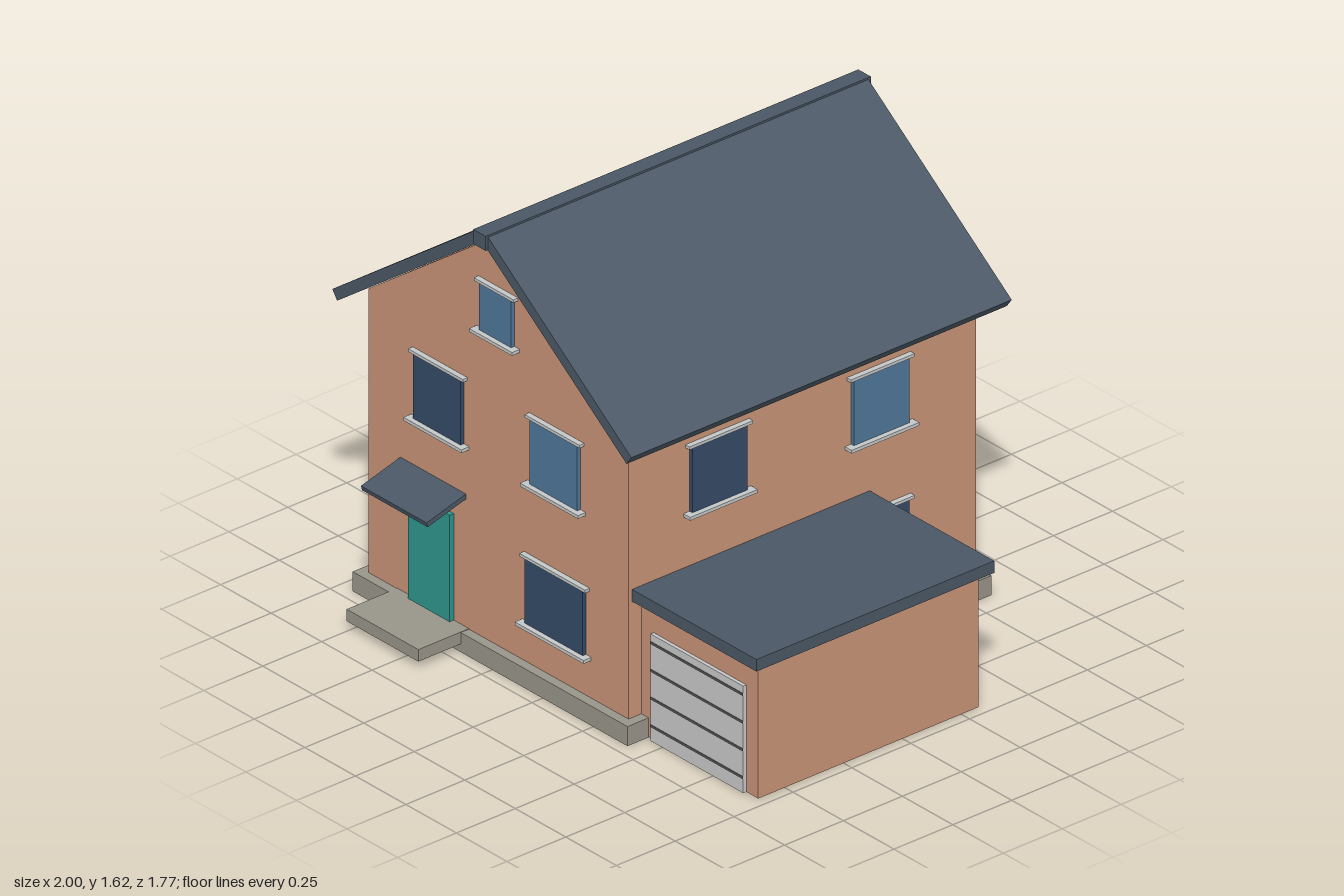
import * as THREE from 'three';

const mat = (name, color) => {
  const m = new THREE.MeshStandardMaterial({ color });
  m.name = name;
  return m;
};

export function createModel() {
  const house = new THREE.Group();
  house.name = 'house';

  const brick = mat('brick', 0xc99377);
  const slate = mat('slate', 0x4a5765);
  const stone = mat('stone', 0x98948a);
  const trim = mat('trim', 0xc4c7c8);
  const darkGlass = mat('dark glass', 0x344a66);
  const lightGlass = mat('light glass', 0x4f7698);
  const teal = mat('teal paint', 0x2d958d);
  const metal = mat('garage door metal', 0xc8c8c8);
  const seam = mat('seam', 0x5c5c5e);

  // box given by its min and max on each axis
  const box = (name, material, [x0, x1], [y0, y1], [z0, z1], parent = house) => {
    const mesh = new THREE.Mesh(new THREE.BoxGeometry(x1 - x0, y1 - y0, z1 - z0), material);
    mesh.position.set((x0 + x1) / 2, (y0 + y1) / 2, (z0 + z1) / 2);
    mesh.name = name;
    parent.add(mesh);
    return mesh;
  };

  // outline in x and y, extruded from z0 to z1
  const prism = (name, material, points, z0, z1) => {
    const shape = new THREE.Shape(points.map(([x, y]) => new THREE.Vector2(x, y)));
    const geo = new THREE.ExtrudeGeometry(shape, { depth: z1 - z0, bevelEnabled: false });
    geo.translate(0, 0, z0);
    const mesh = new THREE.Mesh(geo, material);
    mesh.name = name;
    house.add(mesh);
  };

  const cx = -0.26; // centre line of the main house
  const left = -0.902, right = 0.384, front = 0.67, back = -0.805;

  // main house
  box('plinth', stone, [-0.94, 0.42], [0, 0.072], [-0.84, 0.705]);
  prism('walls', brick, [[left, 0.07], [right, 0.07], [right, 1.118], [cx, 1.582], [left, 1.118]], back, front);

  // roof slopes and ridge
  for (const s of [-1, 1]) {
    const slope = [[0, 1.586], [0.716, 1.067], [0.74, 1.1], [0.024, 1.619]];
    prism('roofSlope', slate, slope.map(([x, y]) => [cx + s * x, y]), -0.875, 0.74);
  }
  box('ridge', slate, [cx - 0.031, cx + 0.031], [1.567, 1.621], [-0.885, 0.75]);

  // garage
  box('garageWalls', brick, [0.38, 0.962], [0.002, 0.51], [-0.32, 0.615]);
  box('garageRoof', slate, [0.38, 1], [0.5, 0.544], [-0.355, 0.655]);
  box('garageDoor', metal, [0.445, 0.903], [0.002, 0.396], [0.61, 0.628]);
  for (let i = 0; i < 4; i++) {
    const y = 0.059 + i * 0.102;
    box('garageDoorSeam', seam, [0.445, 0.903], [y - 0.004, y + 0.004], [0.625, 0.631]);
  }

  // entrance
  box('frontDoor', teal, [-0.685, -0.48], [0.072, 0.466], [0.66, 0.688]);
  box('doorStep', stone, [-0.76, -0.405], [0.03, 0.074], [0.66, 0.885]);
  const canopy = box('canopy', slate, [-0.745, -0.42], [0.523, 0.541], [0.66, 0.838]);
  canopy.rotation.x = 0.27;

  // windows: u runs to the right as seen from outside the wall
  const wall = (name, x, z, turn) => {
    const g = new THREE.Group();
    g.name = name;
    g.position.set(x, 0, z);
    g.rotation.y = turn;
    house.add(g);
    return g;
  };
  const addWindow = (parent, u, y, glass, w = 0.235, h = 0.24) => {
    const g = new THREE.Group();
    g.name = 'window';
    g.position.set(u, y, 0);
    parent.add(g);
    const a = w / 2, b = h / 2;
    box('glass', glass, [-a, a], [-b, b], [-0.01, 0.014], g);
    box('lintel', trim, [-a - 0.018, a + 0.018], [b, b + 0.011], [-0.01, 0.02], g);
    box('sill', trim, [-a - 0.026, a + 0.026], [-b - 0.012, -b], [-0.01, 0.033], g);
  };
  const upper = 0.864, lower = 0.342;

  const frontWall = wall('frontWindows', 0, front, 0);
  addWindow(frontWall, -0.548, upper, darkGlass);
  addWindow(frontWall, 0.029, upper, lightGlass);
  addWindow(frontWall, 0.03, lower, darkGlass, 0.288);
  addWindow(frontWall, cx, 1.295, lightGlass, 0.16, 0.175);

  const garageSide = wall('garageSideWindows', right, 0, Math.PI / 2);
  addWindow(garageSide, -0.293, upper, darkGlass);
  addWindow(garageSide, 0.393, upper, lightGlass);
  addWindow(garageSide, 0.393, lower, darkGlass);

  const farSide = wall('farSideWindows', left, 0, -Math.PI / 2);
  const backWall = wall('backWindows', 0, back, Math.PI);
  for (const y of [upper, lower]) {
    for (const u of [-0.393, 0.293]) addWindow(farSide, u, y, darkGlass);
    addWindow(backWall, -cx, y, darkGlass);
  }

  return house;
}
